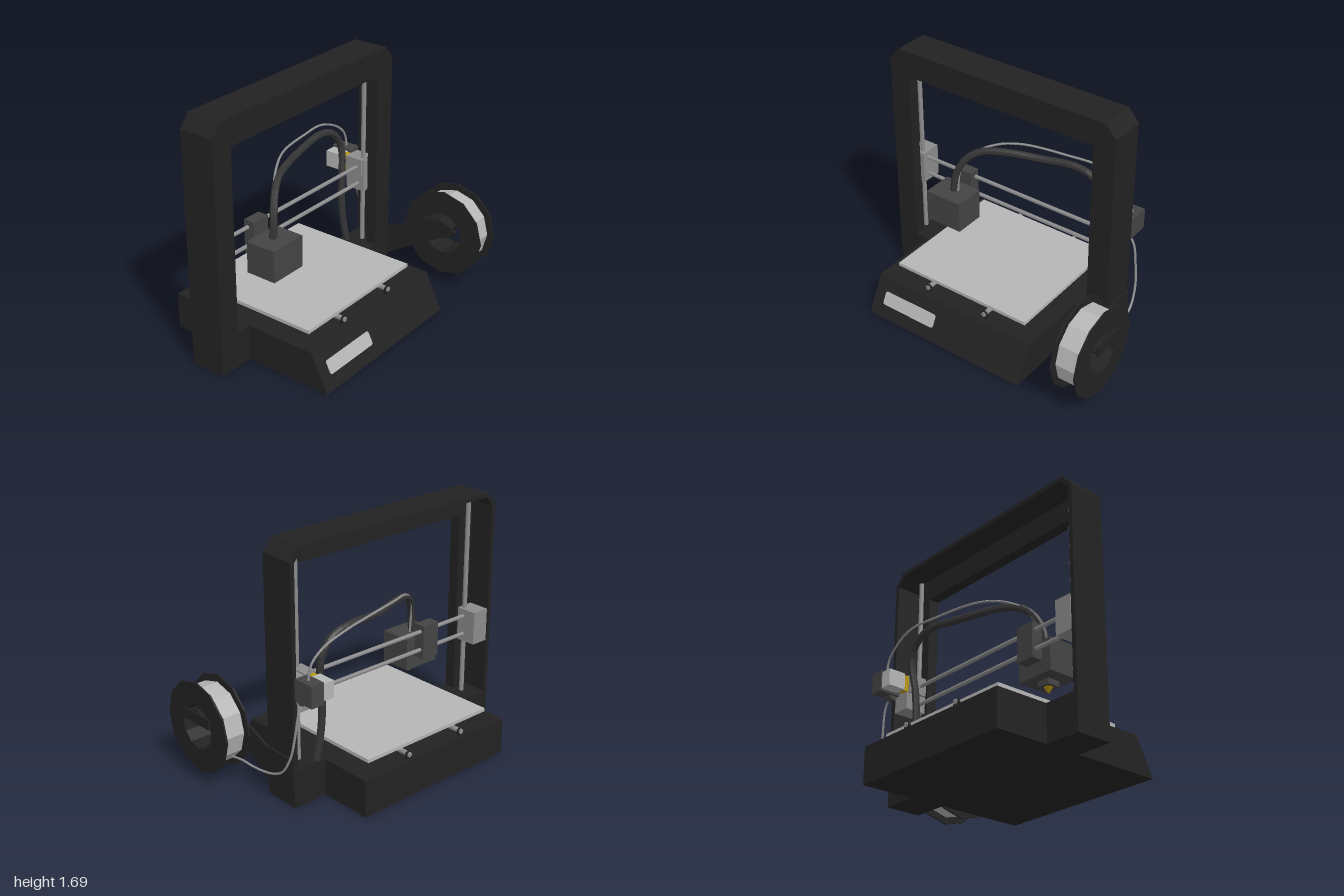
import * as THREE from 'three';

export function createModel() {
  const model = new THREE.Group();
  const mat = (name, color) => {
    const m = new THREE.MeshStandardMaterial({ color });
    m.name = name;
    return m;
  };
  const black = mat('black', 0x222222);
  const charcoal = mat('charcoal', 0x444444);
  const cableGrey = mat('cable grey', 0x353535);
  const metal = mat('metal grey', 0x8c8c8c);
  const light = mat('light grey', 0xb6b6b6);
  const gold = mat('gold', 0xb8960c);

  // Helpers
  const add = (name, geo, material) => {
    const mesh = new THREE.Mesh(geo, material);
    mesh.name = name;
    model.add(mesh);
    return mesh;
  };
  const flat = (geo) => {
    const g = geo.index ? geo.toNonIndexed() : geo;
    g.computeVertexNormals();
    return g;
  };
  // Box given by its limits on each axis
  const box = (name, m, x0, x1, y0, y1, z0, z1) =>
    add(name, new THREE.BoxGeometry(x1 - x0, y1 - y0, z1 - z0)
      .translate((x0 + x1) / 2, (y0 + y1) / 2, (z0 + z1) / 2), m);
  const shapeOf = (pts) => new THREE.Shape(pts.map(([a, b]) => new THREE.Vector2(a, b)));
  const extrude = (shape, depth) =>
    new THREE.ExtrudeGeometry(shape, { depth, bevelEnabled: false, curveSegments: 6 });
  // Outline in (z, y), extruded from x0 to x1
  const extrudeX = (name, m, shape, x0, x1) =>
    add(name, extrude(shape, x1 - x0).rotateY(-Math.PI / 2).translate(x1, 0, 0), m);
  // Straight rod between two points
  const rod = (name, m, a, b, r, sides = 10) => {
    const p = new THREE.Vector3(...a), q = new THREE.Vector3(...b);
    const mesh = add(name, new THREE.CylinderGeometry(r, r, p.distanceTo(q), sides), m);
    mesh.position.copy(p).add(q).multiplyScalar(0.5);
    mesh.quaternion.setFromUnitVectors(new THREE.Vector3(0, 1, 0), q.sub(p).normalize());
  };
  const tube = (name, m, pts, r, segments, sides) => {
    const curve = new THREE.CatmullRomCurve3(pts.map((p) => new THREE.Vector3(...p)));
    add(name, flat(new THREE.TubeGeometry(curve, segments, r, sides)), m);
  };

  // Base with sloping front, and the cross foot under the columns
  extrudeX('base', black, shapeOf([[-0.67, 0], [0.575, 0], [0.45, 0.25], [-0.67, 0.25]]), -0.75, 0.49);
  box('crossFoot', black, -1, 0.74, 0, 0.25, -0.3, -0.05);

  // Portal frame: front plate and outer rim, open at the back
  const outer = [[0.74, 0.25], [0.74, 1.605], [0.665, 1.69], [-0.925, 1.69], [-1, 1.605], [-1, 0.25]];
  const plate = shapeOf([...outer, [-0.85, 0.25], [-0.85, 1.51], [0.585, 1.51], [0.585, 0.25]]);
  add('framePlate', extrude(plate, 0.075).translate(0, 0, -0.125), black);
  const rim = shapeOf([...outer, [-0.97, 0.25], [-0.97, 1.595], [-0.912, 1.66],
    [0.652, 1.66], [0.71, 1.595], [0.71, 0.25]]);
  add('frameRim', extrude(rim, 0.175).translate(0, 0, -0.3), black);

  // Screen on the sloping front
  const w = 0.215, h = 0.047, c = 0.018;
  const screen = new THREE.Shape();
  screen.moveTo(-w + c, -h).lineTo(w - c, -h).quadraticCurveTo(w, -h, w, -h + c)
    .lineTo(w, h - c).quadraticCurveTo(w, h, w - c, h)
    .lineTo(-w + c, h).quadraticCurveTo(-w, h, -w, h - c)
    .lineTo(-w, -h + c).quadraticCurveTo(-w, -h, -w + c, -h);
  const screenMesh = add('screen', extrude(screen, 0.006), light);
  screenMesh.position.set(-0.45, 0.123, 0.575 - 0.123 * 0.5 - 0.001);
  screenMesh.rotation.x = -Math.atan(0.5);

  // Bed and its slide rods
  box('bed', light, -0.66, 0.39, 0.303, 0.327, -0.585, 0.36);
  for (const x of [-0.365, 0.1]) {
    rod('bedRod', metal, [x, 0.283, -0.655], [x, 0.283, 0.415], 0.017);
    for (const z of [-0.64, 0.4]) {
      rod('bedRodCollar', black, [x, 0.278, z - 0.007], [x, 0.278, z + 0.007], 0.026);
      box('bedRodFoot', black, x - 0.02, x + 0.02, 0.245, 0.27, z < 0 ? z - 0.005 : z - 0.01, z + 0.005);
    }
  }

  // Lift rods, gantry rods and end blocks
  for (const x of [-0.872, 0.607]) rod('liftRod', metal, [x, 0.25, -0.18], [x, 1.62, -0.18], 0.016);
  for (const y of [0.69, 0.82]) rod('gantryRod', metal, [-0.88, y, -0.2], [0.61, y, -0.2], 0.014);
  box('leftEndBlock', metal, -0.965, -0.84, 0.64, 0.87, -0.3, -0.15);
  box('rightEndBlock', metal, 0.575, 0.7, 0.64, 0.87, -0.3, -0.15);
  box('rightEndClamp', metal, 0.555, 0.64, 0.755, 0.88, -0.29, -0.16);

  // Print head
  box('printHead', charcoal, -0.635, -0.36, 0.545, 0.765, -0.15, 0.07);
  box('headClip', charcoal, -0.565, -0.43, 0.63, 0.865, -0.23, -0.15);
  box('nozzleHolder', charcoal, -0.545, -0.45, 0.507, 0.545, -0.085, 0.01);
  add('nozzle', new THREE.CylinderGeometry(0.03, 0.006, 0.037, 8).translate(-0.498, 0.489, -0.038), gold);

  // Feeder motor at the back
  box('feederMotor', charcoal, 0.638, 0.735, 0.74, 0.885, -0.468, -0.315);
  box('feederBody', light, 0.555, 0.638, 0.757, 0.872, -0.46, -0.335);
  box('feederBracket', gold, 0.572, 0.63, 0.76, 0.87, -0.335, -0.29);
  rod('feederInlet', charcoal, [0.655, 0.742, -0.348], [0.72, 0.742, -0.348], 0.031);

  // Cable loom, feed tube and filament
  tube('cable', cableGrey, [[-0.5, 0.75, -0.05], [-0.48, 0.9, -0.06], [-0.42, 1.02, -0.1],
    [-0.33, 1.08, -0.15], [-0.2, 1.1, -0.2], [0.05, 1.1, -0.28], [0.3, 1.115, -0.32],
    [0.43, 1.085, -0.32], [0.51, 1, -0.315], [0.525, 0.9, -0.3], [0.505, 0.75, -0.285],
    [0.495, 0.58, -0.28], [0.505, 0.42, -0.275], [0.53, 0.24, -0.26]], 0.025, 40, 8);
  tube('feedTube', metal, [[-0.47, 0.76, -0.06], [-0.46, 0.92, -0.08], [-0.38, 1.06, -0.14],
    [-0.25, 1.13, -0.22], [-0.1, 1.15, -0.29], [0.2, 1.143, -0.36], [0.42, 1.125, -0.4],
    [0.58, 1.065, -0.395], [0.67, 0.98, -0.39], [0.69, 0.87, -0.385]], 0.008, 40, 6);
  tube('filament', metal, [[0.69, 0.74, -0.35], [0.735, 0.68, -0.352], [0.765, 0.52, -0.345],
    [0.785, 0.38, -0.325], [0.8, 0.26, -0.26], [0.808, 0.215, -0.17], [0.82, 0.198, -0.02],
    [0.835, 0.21, 0.11], [0.85, 0.2, 0.22]], 0.008, 36, 6);

  // Spool arm, saddle axle and end lip
  extrudeX('spoolArm', black, shapeOf([[-0.3, 0.12], [-0.05, 0.12], [0.24, 0.305], [0.495, 0.43],
    [0.51, 0.46], [0.48, 0.48], [0.365, 0.52], [0.22, 0.45], [-0.05, 0.337], [-0.3, 0.337]]), 0.738, 0.753);
  const saddle = shapeOf([[0.22, 0.43], [0.45, 0.44], [0.47, 0.475], [0.365, 0.515], [0.22, 0.475]]);
  extrudeX('spoolAxle', black, saddle, 0.75, 0.985);
  extrudeX('spoolAxleLip', black, shapeOf([[0.215, 0.43], [0.455, 0.43], [0.455, 0.5], [0.215, 0.5]]), 0.985, 1);

  // Twelve-sided spool
  const polygon = (r) => Array.from({ length: 12 }, (_, i) => {
    const a = (i * Math.PI) / 6;
    return [0.364 + r * Math.cos(a), 0.39 + r * Math.sin(a)];
  });
  const ring = (name, m, rOut, rIn, x0, x1) => {
    const s = shapeOf(polygon(rOut));
    s.holes.push(shapeOf(polygon(rIn)));
    extrudeX(name, m, s, x0, x1);
  };
  ring('spoolFlange', black, 0.31, 0.15, 0.797, 0.809);
  ring('spoolFlange', black, 0.31, 0.15, 0.968, 0.98);
  ring('spoolCore', black, 0.17, 0.15, 0.809, 0.968);
  ring('spoolFilament', light, 0.262, 0.17, 0.809, 0.968);

  return model;
}
